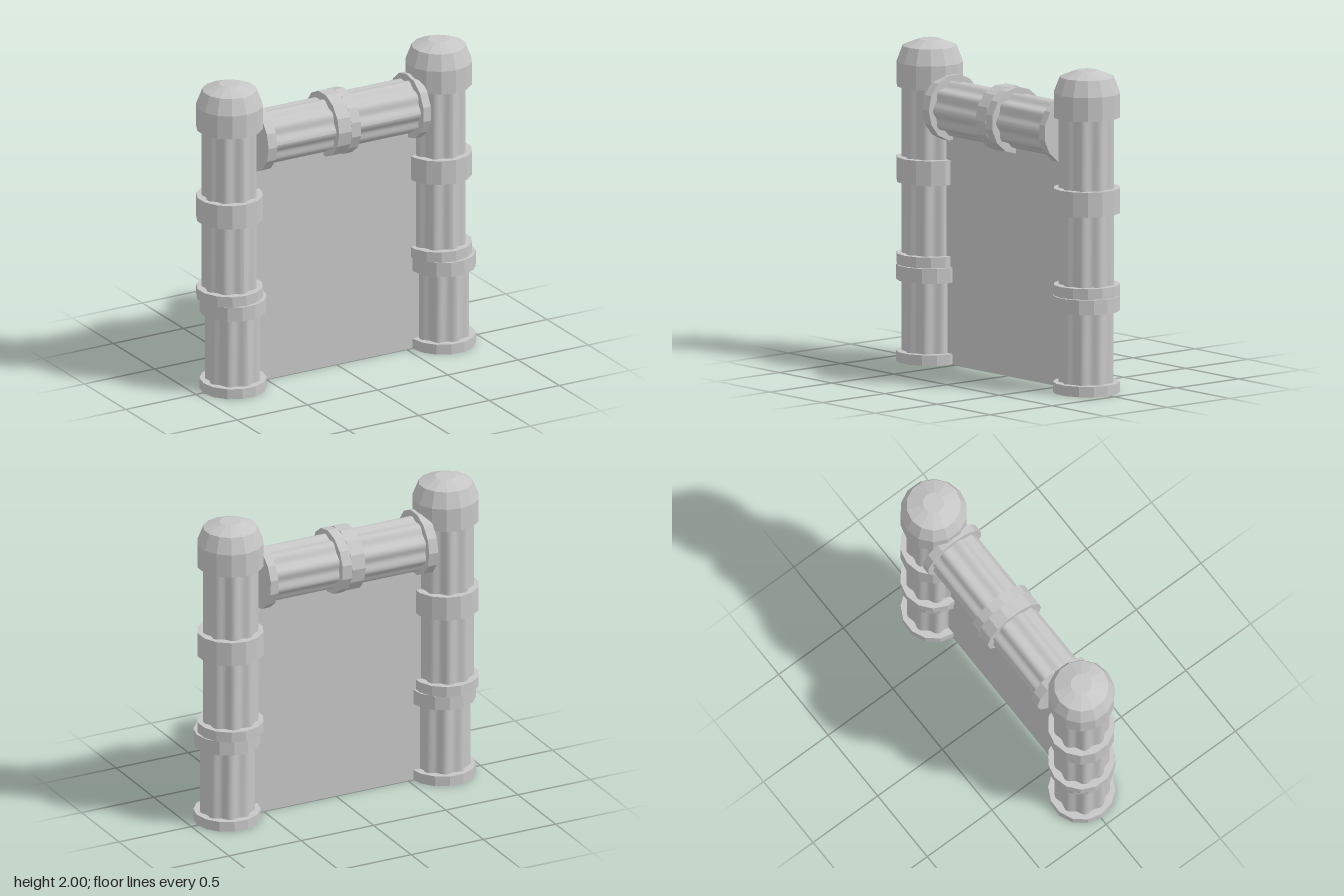
import * as THREE from 'three';

const stone = new THREE.MeshStandardMaterial({ color: 0xc6c6c6, flatShading: true });
stone.name = 'grey stone';
const fluted = stone; // one colour throughout
const SIDES = 14, RADIUS = 0.207;

function add(group, name, geometry, x, y, z) {
  const mesh = new THREE.Mesh(geometry, fluted);
  mesh.name = name;
  mesh.position.set(x, y, z);
  group.add(mesh);
  return mesh;
}

// Faceted collar between two heights
function collar(group, name, y0, y1, x = 0, z = 0, turn = 0) {
  const mesh = add(group, name, new THREE.CylinderGeometry(RADIUS, RADIUS, y1 - y0, SIDES), x, (y0 + y1) / 2, z);
  mesh.rotation.y = turn;
}

// Shaft with softly waved flutes between two heights
function shaft(group, name, y0, y1, x = 0, z = 0) {
  const g = new THREE.CylinderGeometry(1, 1, y1 - y0, 90, 1, true);
  const p = g.attributes.position;
  for (let i = 0; i < p.count; i++) {
    const r = 0.164 + 0.009 * Math.cos(9 * Math.atan2(p.getX(i), p.getZ(i)));
    p.setX(i, p.getX(i) * r);
    p.setZ(i, p.getZ(i) * r);
  }
  g.computeVertexNormals();
  add(group, name, g, x, (y0 + y1) / 2, z);
}

// Column: a lower drum and a slightly shifted upper drum with a domed cap
function column(name, lowX, highX) {
  const g = new THREE.Group();
  g.name = name;
  const lowZ = 0.01, highZ = -0.006;
  collar(g, 'base', 0, 0.065, lowX, lowZ, 0.2);
  shaft(g, 'lowerShaft', 0.06, 0.52, lowX, lowZ);
  collar(g, 'lowerCollar', 0.51, 0.603, lowX, lowZ, 0.2);
  collar(g, 'jointCollar', 0.603, 0.67, highX, highZ);
  shaft(g, 'upperShaft', 0.66, 1.72, highX, highZ);
  collar(g, 'middleCollar', 1.115, 1.27, highX, highZ);
  const profile = [[0, 1.71], [RADIUS, 1.71], [RADIUS, 1.86], [0.168, 1.96], [0.066, 2], [0, 2]]
    .map(([r, y]) => new THREE.Vector2(r, y));
  add(g, 'cap', new THREE.LatheGeometry(profile, SIDES), highX, 0, highZ);
  return g;
}

export function createModel() {
  const model = new THREE.Group();
  model.name = 'gateway';
  model.add(column('rightColumn', -0.741, -0.757), column('leftColumn', 0.748, 0.733));

  // Crossbeam: two fluted drums laid on their side
  const beam = new THREE.Group();
  beam.name = 'crossbeam';
  collar(beam, 'rightFlange', -0.595, -0.532);
  shaft(beam, 'rightBeamShaft', -0.54, -0.08, 0.004);
  collar(beam, 'rightCentreCollar', -0.093, 0, 0, 0);
  collar(beam, 'leftCentreCollar', 0, 0.066, 0.002, 0, 0.2);
  shaft(beam, 'leftBeamShaft', 0.06, 0.52);
  collar(beam, 'leftFlange', 0.51, 0.563, 0, 0, 0.2);
  beam.rotation.z = -Math.PI / 2;
  beam.position.set(0, 1.6, -0.014);
  model.add(beam);

  // Thin sheet filling the opening
  const sheet = stone.clone();
  sheet.name = 'grey sheet';
  sheet.side = THREE.DoubleSide;
  const panel = add(model, 'panel', new THREE.PlaneGeometry(1.48, 1.6), 0, 0.8, 0);
  panel.material = sheet;

  // Smooth shading for the fluted shafts only
  const smooth = stone.clone();
  smooth.name = 'smooth grey stone';
  smooth.flatShading = false;
  model.traverse((o) => {
    if (o.isMesh && o.name.endsWith('haft')) o.material = smooth;
  });
  return model;
}
